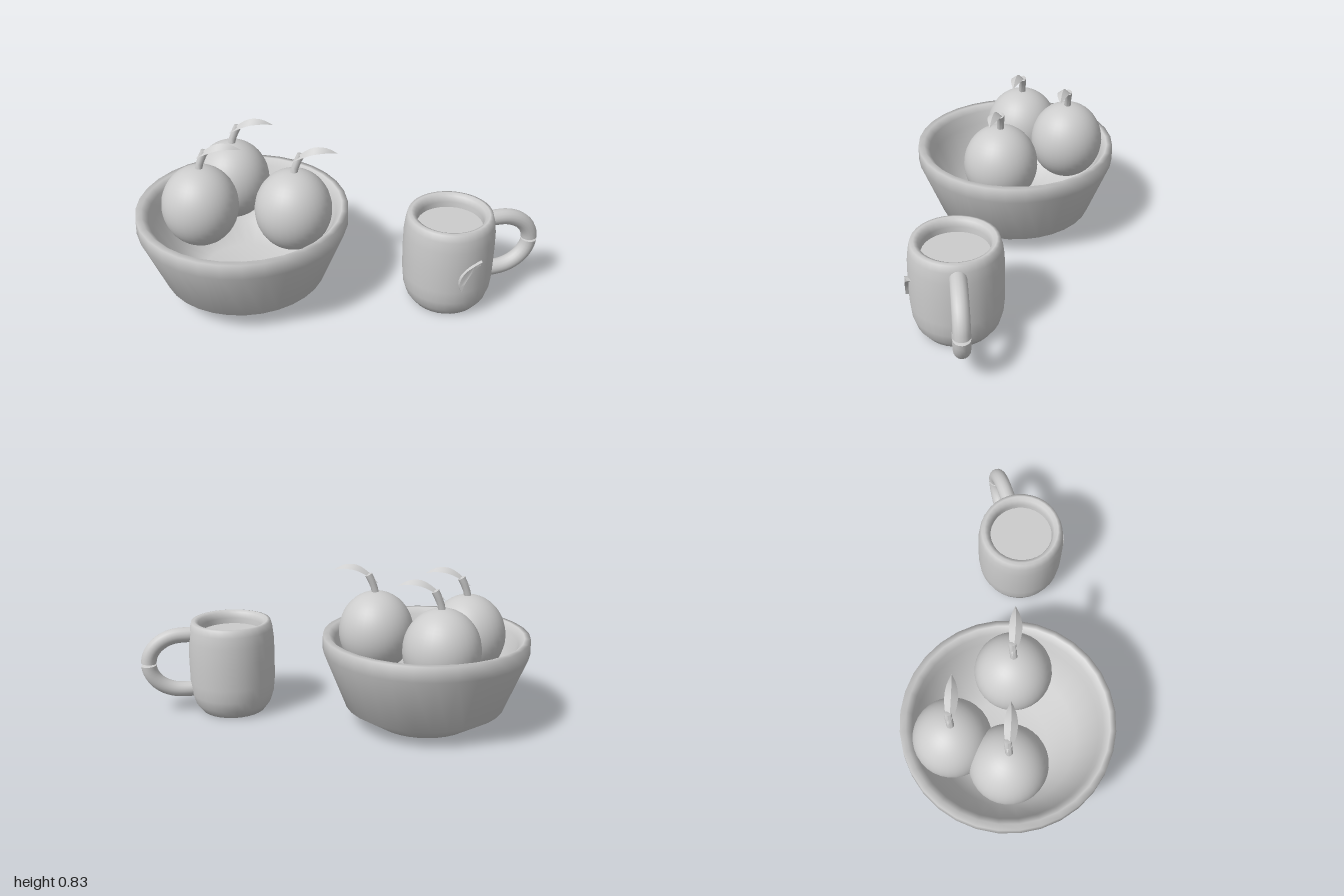
import * as THREE from 'three';
import { mergeVertices, toCreasedNormals } from 'three/addons/utils/BufferGeometryUtils.js';

const V3 = (p) => new THREE.Vector3(...p);

// Closed-off tube along a curve; stops = [t, radius] pairs
function sweep(curve, stops, sides = 16) {
  const pos = [], index = [];
  let normal = null;
  stops.forEach(([t, r]) => {
    const c = curve.getPoint(t), T = curve.getTangent(t);
    normal ??= Math.abs(T.z) < 0.9 ? new THREE.Vector3(0, 0, 1) : new THREE.Vector3(1, 0, 0);
    const N = normal.clone().addScaledVector(T, -normal.dot(T)).normalize();
    const B = new THREE.Vector3().crossVectors(T, N);
    for (let j = 0; j < sides; j++) {
      const a = (j / sides) * Math.PI * 2;
      const p = c.clone().addScaledVector(N, r * Math.cos(a)).addScaledVector(B, r * Math.sin(a));
      pos.push(p.x, p.y, p.z);
    }
  });
  for (let i = 0; i < stops.length - 1; i++) {
    for (let j = 0; j < sides; j++) {
      const a = i * sides + j, b = i * sides + (j + 1) % sides;
      index.push(a, b, a + sides, b, b + sides, a + sides);
    }
  }
  const g = new THREE.BufferGeometry();
  g.setAttribute('position', new THREE.Float32BufferAttribute(pos, 3));
  g.setIndex(index);
  return toCreasedNormals(g, 0.8);
}

// Arched leaf with a raised midrib and drooping edges
function leafGeometry() {
  const spine = new THREE.CatmullRomCurve3([
    [-0.005, 0.735, -0.012], [0.04, 0.79, 0.012], [0.1, 0.828, 0.036],
    [0.16, 0.826, 0.056], [0.213, 0.797, 0.072],
  ].map(V3));
  const side = new THREE.Vector3(-0.35, 0, 0.94), n = 12, pos = [], index = [];
  for (let i = 0; i <= n; i++) {
    const t = i / n, p = spine.getPoint(t), w = Math.sin(Math.PI * t);
    // edge, midrib, edge, underside
    for (const [s, drop] of [[-0.032, 0.024], [0, 0], [0.032, 0.024], [0, 0.014]]) {
      pos.push(p.x + side.x * s * w, p.y - drop * w, p.z + side.z * s * w);
    }
  }
  for (let i = 0; i < n; i++) {
    for (let j = 0; j < 4; j++) {
      const a = i * 4 + j, b = i * 4 + (j + 1) % 4;
      index.push(a, b, a + 4, b, b + 4, a + 4);
    }
  }
  const g = new THREE.BufferGeometry();
  g.setAttribute('position', new THREE.Float32BufferAttribute(pos, 3));
  g.setIndex(index);
  return toCreasedNormals(g, 0.9);
}

export function createModel() {
  const model = new THREE.Group();
  const clay = new THREE.MeshStandardMaterial({ color: 0xcccccc, side: THREE.DoubleSide });
  clay.name = 'light grey clay';

  const add = (parent, name, geometry) => {
    const mesh = new THREE.Mesh(geometry, clay);
    mesh.name = name;
    parent.add(mesh);
    return mesh;
  };
  const group = (name, x, z) => {
    const g = new THREE.Group();
    g.name = name;
    g.position.set(x, 0, z);
    model.add(g);
    return g;
  };
  const lathe = (pts, segments = 32) =>
    new THREE.LatheGeometry(pts.map(([r, y]) => new THREE.Vector2(r, y)), segments);

  // Bowl: outer wall, rim, then inner wall down to the floor
  const bowl = group('bowl', -0.463, -0.045);
  add(bowl, 'bowlBody', lathe([
    [0, 0], [0.257, 0], [0.418, 0.1], [0.537, 0.4], [0.535, 0.478],
    [0.505, 0.48], [0.475, 0.45], [0.46, 0.38], [0.36, 0.15], [0.22, 0.09], [0, 0.09],
  ]));

  // Three fruits, each with a stem and a leaf
  const fruitShape = new THREE.SphereGeometry(0.195, 32, 24).scale(1, 1.09, 1).translate(0, 0.478, 0);
  const stemCurve = new THREE.CatmullRomCurve3([
    [0.002, 0.66, 0], [0.012, 0.71, 0], [0.028, 0.75, 0], [0.045, 0.785, 0.004],
  ].map(V3));
  const stemShape = sweep(stemCurve,
    [[0, 0], [0, 0.019], [0.35, 0.018], [0.7, 0.019], [0.95, 0.02], [1, 0]], 10);
  const leafShape = leafGeometry();
  for (const [x, z] of [[-0.667, -0.105], [-0.46, -0.33], [-0.222, 0.058]]) {
    const fruit = group('fruit', x, z);
    add(fruit, 'fruitBody', fruitShape);
    add(fruit, 'stem', stemShape);
    add(fruit, 'leaf', leafShape);
  }

  // Mug: outer wall, rounded lip and inner wall
  const mug = group('mug', 0.512, 0.336);
  add(mug, 'mugBody', lathe([
    [0, 0], [0.172, 0], [0.205, 0.045], [0.222, 0.1], [0.229, 0.17], [0.231, 0.3],
    [0.229, 0.4], [0.222, 0.46], [0.212, 0.496], [0.195, 0.5], [0.175, 0.49],
    [0.165, 0.46], [0.165, 0.4],
  ]));
  add(mug, 'drink', new THREE.CircleGeometry(0.167, 32).rotateX(-Math.PI / 2)).position.y = 0.43;

  // Handle: half loop pinched at its outermost point
  const handleCurve = new THREE.CatmullRomCurve3([[0.2, 0.429, 0]].concat(
    Array.from({ length: 13 }, (_, i) => {
      const a = Math.PI * (0.5 - i / 12);
      return [0.265 + 0.181 * Math.cos(a), 0.276 + 0.153 * Math.sin(a), 0];
    }), [[0.2, 0.123, 0]]).map(V3));
  const half = Array.from({ length: 14 }, (_, i) => [0.488 * i / 13, 0.041]);
  const mirrored = half.map(([t, r]) => [1 - t, r]).reverse();
  add(mug, 'handle', sweep(handleCurve, [[0, 0], ...half, [0.5, 0.01], ...mirrored, [1, 0]]));

  // Crescent relief wrapped on the front of the mug
  const crescent = new THREE.Shape();
  crescent.moveTo(-0.02, 0.185);
  crescent.bezierCurveTo(-0.055, 0.25, -0.02, 0.33, 0.086, 0.338);
  crescent.bezierCurveTo(0.04, 0.3, 0.0, 0.28, -0.02, 0.185);
  const relief = new THREE.ExtrudeGeometry(crescent, { depth: 0.022, bevelEnabled: false, curveSegments: 12 });
  const p = relief.attributes.position;
  for (let i = 0; i < p.count; i++) {
    p.setZ(i, Math.sqrt(0.231 ** 2 - p.getX(i) ** 2) - 0.006 + p.getZ(i));
  }
  relief.deleteAttribute('uv');
  relief.deleteAttribute('normal');
  add(mug, 'crescentRelief', toCreasedNormals(mergeVertices(relief), 0.7));

  return model;
}
